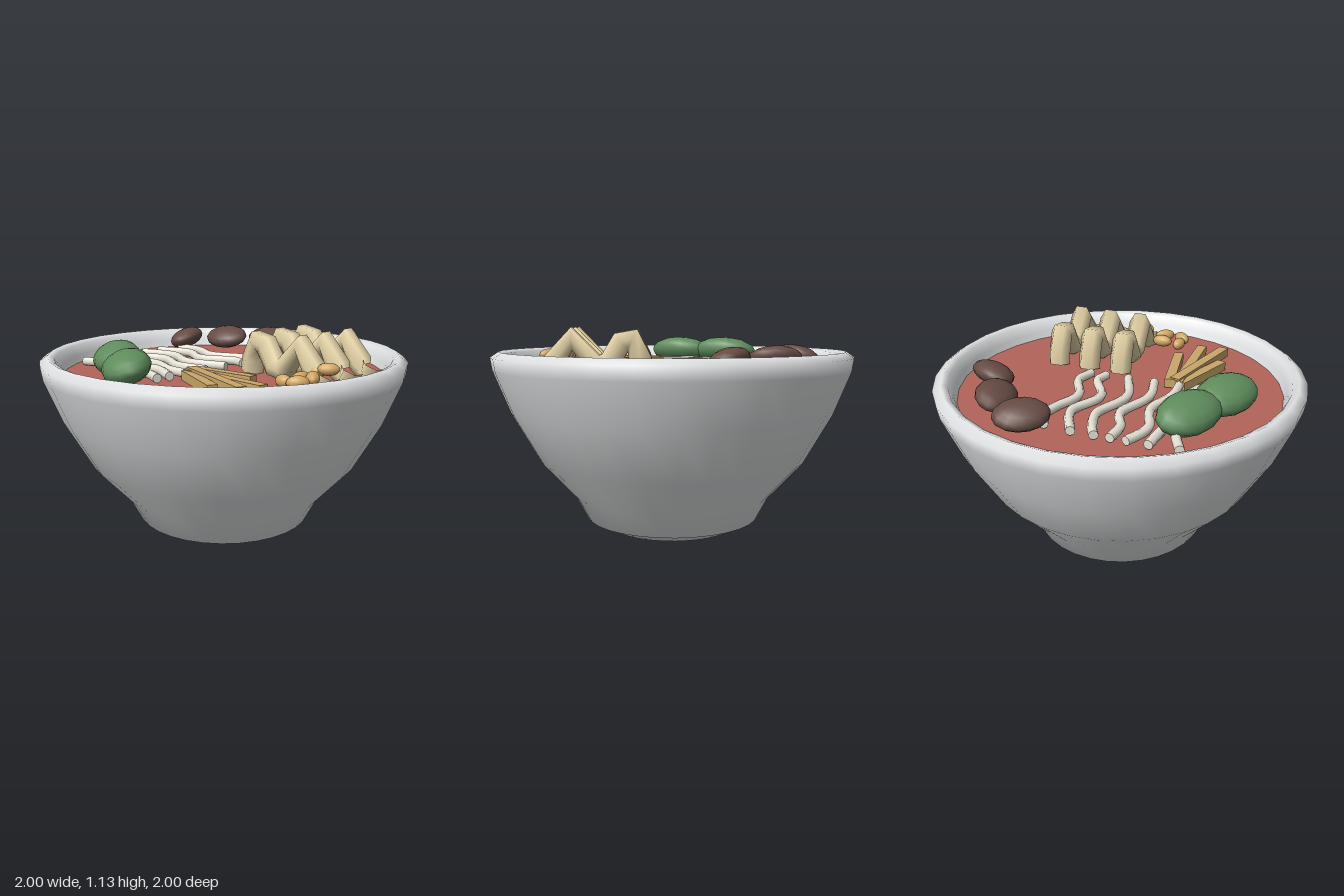
import * as THREE from 'three';

const mat = (name, color) => {
  const m = new THREE.MeshStandardMaterial({ color });
  m.name = name;
  return m;
};

export function createModel() {
  const model = new THREE.Group();
  model.name = 'soupBowl';
  const ceramic = mat('ceramic', 0xe2e4e5);
  const broth = mat('redBroth', 0xb2655a);
  const noodleCream = mat('noodleCream', 0xebe7da);
  const tofuBeige = mat('rollBeige', 0xe0cfa4);
  const mushroomBrown = mat('mushroomBrown', 0x664b44);
  const leafGreen = mat('leafGreen', 0x5f8c5c);
  const stickTan = mat('stickTan', 0xc9a76a);
  const nutGold = mat('nutGold', 0xd2a764);

  const add = (name, geometry, material, parent = model) => {
    const mesh = new THREE.Mesh(geometry, material);
    mesh.name = name;
    parent.add(mesh);
    return mesh;
  };
  const group = (name) => {
    const g = new THREE.Group();
    g.name = name;
    model.add(g);
    return g;
  };

  // Bowl: foot, outer wall, rounded rim and inner wall in one profile
  const profile = [
    [0, 0], [0.37, 0], [0.42, 0.05], [0.49, 0.055], [0.56, 0.19], [0.75, 0.4], [0.9, 0.67],
    [0.99, 0.9], [1, 0.97], [0.955, 1], [0.92, 0.985], [0.895, 0.93], [0.87, 0.85], [0.8, 0.7],
  ].map(([x, y]) => new THREE.Vector2(x, y));
  add('bowl', new THREE.LatheGeometry(profile, 32), ceramic);

  // Broth surface
  const soup = add('broth', new THREE.CircleGeometry(0.885, 32), broth);
  soup.rotation.x = -Math.PI / 2;
  soup.position.y = 0.89;

  // Noodles: wavy strands given as x, z points
  const noodles = group('noodles');
  const capGeo = new THREE.CircleGeometry(0.025, 8);
  [
    [[-0.6, -0.18], [-0.5, -0.22], [-0.4, -0.2], [-0.25, -0.145], [-0.06, -0.22], [0.05, -0.19]],
    [[-0.62, -0.03], [-0.42, -0.11], [-0.22, -0.03], [-0.03, -0.12], [0.05, -0.1]],
    [[-0.62, 0.09], [-0.54, 0.05], [-0.4, 0.02], [-0.18, 0.1], [0.05, 0.03]],
    [[-0.62, 0.17], [-0.5, 0.18], [-0.36, 0.13], [-0.14, 0.21], [0.05, 0.18]],
    [[-0.62, 0.25], [-0.47, 0.31], [-0.27, 0.26], [-0.08, 0.32], [0.05, 0.32]],
    [[-0.62, 0.36], [-0.46, 0.38], [-0.3, 0.42], [-0.15, 0.36], [0.05, 0.43]],
    [[-0.62, 0.51], [-0.45, 0.45], [-0.25, 0.52], [-0.08, 0.47], [0.05, 0.51]],
  ].forEach((pts) => {
    const curve = new THREE.CatmullRomCurve3(pts.map(([x, z]) => new THREE.Vector3(x, 0.92, z)));
    add('noodle', new THREE.TubeGeometry(curve, 24, 0.025, 8), noodleCream, noodles);
    [0, 1].forEach((t) => {
      const cap = add('noodleEnd', capGeo, noodleCream, noodles);
      const p = curve.getPoint(t);
      cap.position.copy(p);
      cap.lookAt(p.clone().addScaledVector(curve.getTangent(t), t ? 1 : -1));
    });
  });

  // Folded rolls: coarse six-sided tubes that rise, fall and end pointing up
  const fold = new THREE.CatmullRomCurve3([
    [0.165, 0.9], [0.175, 0.97], [0.215, 1.07], [0.27, 1.055], [0.335, 0.95], [0.4, 0.94],
    [0.515, 1.075], [0.61, 0.95], [0.66, 0.9], [0.69, 0.96],
  ].map(([x, y]) => new THREE.Vector3(x, y, 0)));
  fold.getUtoTmapping = (u) => u; // rings sit exactly on the points
  const foldGeo = new THREE.TubeGeometry(fold, 9, 0.065, 6);
  const rolls = group('foldedRolls');
  [-0.44, -0.25, -0.06].forEach((z) => {
    add('foldedRoll', foldGeo, tofuBeige, rolls).position.z = z;
  });

  // Flattened ellipsoids: position, radii, yaw, then tilt about the long axis
  const pebble = new THREE.SphereGeometry(1, 14, 9);
  const ellipsoids = (groupName, name, material, list) => {
    const g = group(groupName);
    list.forEach(([pos, radii, yaw, tilt]) => {
      const m = add(name, pebble, material, g);
      m.position.set(...pos);
      m.scale.set(...radii);
      m.rotation.set(tilt, yaw, 0, 'YXZ');
    });
  };
  ellipsoids('mushrooms', 'mushroom', mushroomBrown, [
    [[-0.245, 0.975, -0.645], [0.145, 0.06, 0.1], 1.05, 0.35],
    [[-0.49, 0.975, -0.49], [0.143, 0.06, 0.108], 0.15, 0.35],
    [[-0.64, 0.975, -0.275], [0.145, 0.06, 0.103], -1.0, 0.35],
  ]);
  ellipsoids('leaves', 'leaf', leafGreen, [
    [[-0.345, 0.975, 0.48], [0.205, 0.085, 0.13], -0.45, 0.3],
    [[-0.08, 0.975, 0.605], [0.2, 0.085, 0.13], -0.5, 0.3],
  ]);
  ellipsoids('nuts', 'nut', nutGold, [
    [[0.685, 0.98, -0.065], [0.058, 0.032, 0.035], 0.7, 0.2],
    [[0.635, 0.965, -0.04], [0.045, 0.03, 0.03], 0.5, 0],
    [[0.61, 0.94, 0.055], [0.06, 0.035, 0.034], 1.5, 0],
    [[0.68, 0.95, 0.05], [0.062, 0.035, 0.036], -0.9, 0],
    [[0.595, 0.94, 0.165], [0.052, 0.034, 0.034], -0.15, 0],
    [[0.68, 0.945, 0.16], [0.058, 0.035, 0.036], 0.8, 0],
  ]);

  // Fanned sticks: start x, z, end x, z, height
  const sticks = group('sticks');
  [
    [0.05, 0.265, 0.435, 0.21, 0.925],
    [0.05, 0.31, 0.6, 0.31, 0.92],
    [0.06, 0.29, 0.59, 0.445, 0.93],
    [0.06, 0.325, 0.42, 0.47, 0.915],
  ].forEach(([x0, z0, x1, z1, y]) => {
    const length = Math.hypot(x1 - x0, z1 - z0);
    const s = add('stick', new THREE.BoxGeometry(length, 0.05, 0.055), stickTan, sticks);
    s.position.set((x0 + x1) / 2, y, (z0 + z1) / 2);
    s.rotation.y = -Math.atan2(z1 - z0, x1 - x0);
  });

  return model;
}
